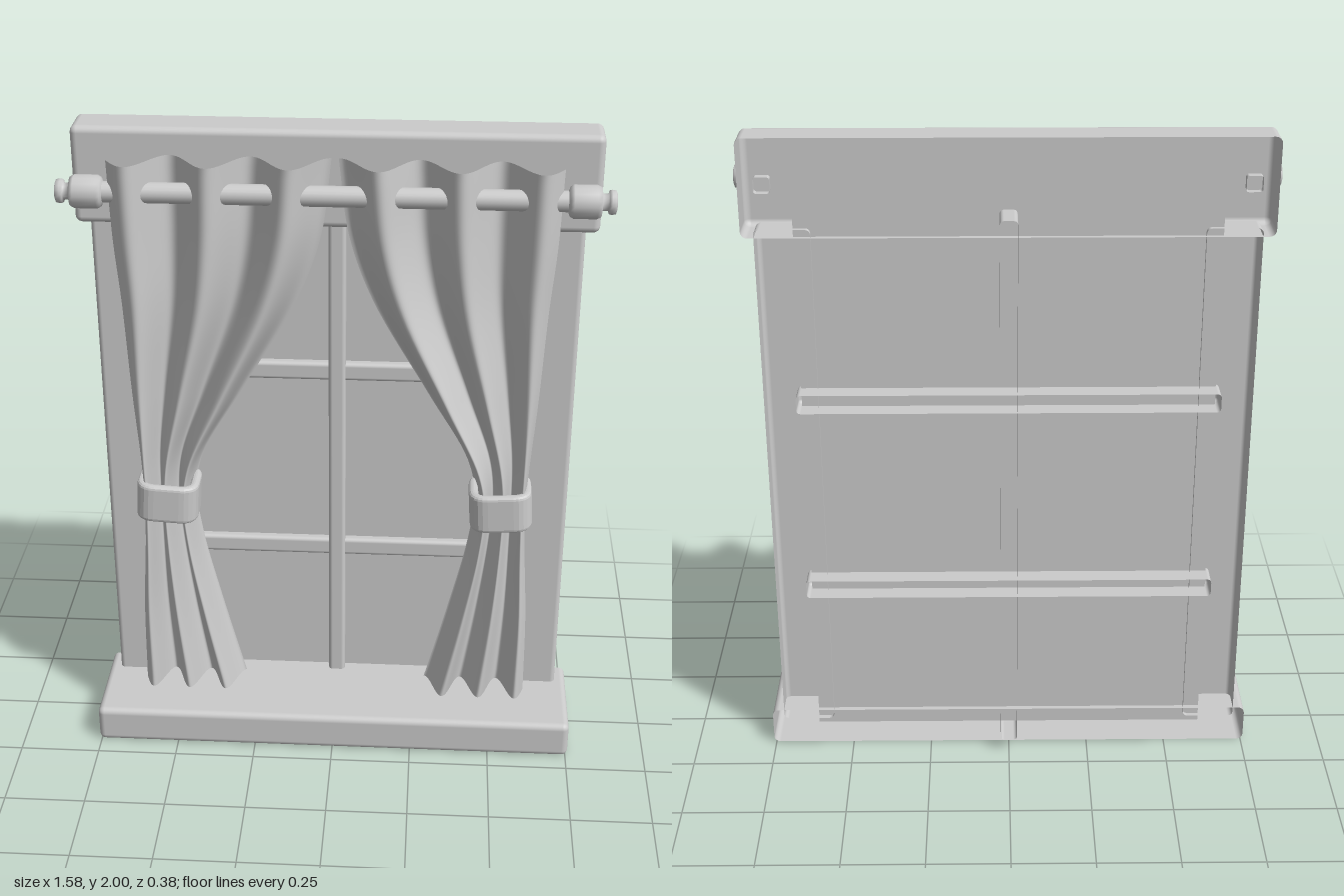
import * as THREE from 'three';
import { RoundedBoxGeometry } from 'three/addons/geometries/RoundedBoxGeometry.js';

const material = new THREE.MeshStandardMaterial({ color: 0xcccccc, side: THREE.DoubleSide });

function add(parent, name, geometry) {
  const mesh = new THREE.Mesh(geometry, material);
  mesh.name = name;
  parent.add(mesh);
  return mesh;
}

// Rounded box between two corners, hollow and open at the back
function openBox([x0, y0, z0], [x1, y1, z1], r) {
  const depth = z1 - z0 + r;
  const box = new RoundedBoxGeometry(x1 - x0, y1 - y0, depth, 3, r);
  const p = box.attributes.position, n = box.attributes.normal;
  const limit = -depth / 2 + r - 1e-5;
  const positions = [], normals = [];
  for (let i = 0; i < p.count; i += 3) {
    if ((p.getZ(i) + p.getZ(i + 1) + p.getZ(i + 2)) / 3 < limit) continue;
    for (let j = i; j < i + 3; j++) {
      positions.push(p.getX(j), p.getY(j), p.getZ(j));
      normals.push(n.getX(j), n.getY(j), n.getZ(j));
    }
  }
  const shell = new THREE.BufferGeometry();
  shell.setAttribute('position', new THREE.Float32BufferAttribute(positions, 3));
  shell.setAttribute('normal', new THREE.Float32BufferAttribute(normals, 3));
  return shell.translate((x0 + x1) / 2, (y0 + y1) / 2, z1 - depth / 2);
}

// Curtain outline from hem to top: (inner x, y, outer x)
const outline = new THREE.CatmullRomCurve3([
  [0.29, 0.17, 0.61], [0.36, 0.45, 0.605], [0.415, 0.7, 0.59], [0.43, 0.86, 0.585], [0.405, 0.98, 0.59],
  [0.28, 1.2, 0.605], [0.11, 1.5, 0.62], [0.04, 1.7, 0.635], [0.01, 1.93, 0.642],
].map((p) => new THREE.Vector3(...p)));

// Pleated sheet gathered at the tie
function curtain(side) {
  const geometry = new THREE.PlaneGeometry(1, 1, 88, 64);
  const p = geometry.attributes.position;
  for (let i = 0; i < p.count; i++) {
    const t = 0.5 + side * p.getX(i);
    const edge = outline.getPoint(THREE.MathUtils.clamp(p.getY(i) + 0.5, 0, 1));
    const x = THREE.MathUtils.lerp(edge.x, edge.z, t);
    p.setXYZ(i, side * x, edge.y, 0.065 - 0.055 * Math.cos(t * 5.5 * Math.PI));
  }
  geometry.computeVertexNormals();
  return geometry;
}

function roundedRect(path, w, h, r) {
  const x = w / 2, y = h / 2;
  path.moveTo(-x + r, -y);
  path.lineTo(x - r, -y).quadraticCurveTo(x, -y, x, -y + r);
  path.lineTo(x, y - r).quadraticCurveTo(x, y, x - r, y);
  path.lineTo(-x + r, y).quadraticCurveTo(-x, y, -x, y - r);
  path.lineTo(-x, -y + r).quadraticCurveTo(-x, -y, -x + r, -y);
  return path;
}

// Soft band wrapped around the gathered cloth
function tieBand() {
  const shape = roundedRect(new THREE.Shape(), 0.166, 0.142, 0.045);
  shape.holes.push(roundedRect(new THREE.Path(), 0.156, 0.132, 0.04));
  const geometry = new THREE.ExtrudeGeometry(shape, {
    depth: 0.1, bevelEnabled: true, bevelSize: 0.012, bevelThickness: 0.012, bevelSegments: 3, curveSegments: 6,
  });
  return geometry.translate(0, 0, -0.05).rotateX(Math.PI / 2);
}

// Collar, neck and knob turned around the rod axis: (radius, x)
const finialProfile = [
  [0.03, 0.655], [0.042, 0.66], [0.048, 0.67], [0.048, 0.735], [0.042, 0.747], [0.024, 0.75],
  [0.024, 0.765], [0.033, 0.768], [0.035, 0.775], [0.033, 0.787], [0.024, 0.79], [0, 0.79],
].map(([r, x]) => new THREE.Vector2(r, x));

export function createModel() {
  const model = new THREE.Group();
  model.name = 'curtainedWindow';

  // Frame and glazing
  add(model, 'header', openBox([-0.757, 1.71, -0.13], [0.757, 2, -0.012], 0.02));
  add(model, 'sill', openBox([-0.757, 0, -0.13], [0.757, 0.12, 0.192], 0.02));
  add(model, 'pane', new THREE.PlaneGeometry(1.22, 1.7)).position.set(0, 0.915, -0.115);
  add(model, 'verticalMuntin', openBox([-0.026, 0.045, -0.192], [0.026, 1.78, -0.08], 0.012));
  for (const y of [0.59, 1.213]) {
    add(model, 'horizontalMuntin', openBox([-0.622, y - 0.029, -0.172], [0.622, y + 0.029, -0.09], 0.012));
  }

  // Curtain rod
  const rod = add(model, 'rod', new THREE.CylinderGeometry(0.03, 0.03, 1.4, 20));
  rod.rotation.z = Math.PI / 2;
  rod.position.set(0, 1.835, 0.06);

  // Mirrored parts
  for (const side of [-1, 1]) {
    const label = side > 0 ? 'left' : 'right';
    const x0 = side > 0 ? 0.56 : -0.72;
    add(model, label + 'Jamb', openBox([x0, 0.09, -0.13], [x0 + 0.16, 1.735, -0.05], 0.015));

    const finial = add(model, label + 'Finial', new THREE.LatheGeometry(finialProfile, 16));
    finial.rotation.z = -side * Math.PI / 2;
    finial.position.copy(rod.position);

    const bx = side * 0.702;
    add(model, label + 'Bracket', openBox([bx - 0.024, 1.811, -0.035], [bx + 0.024, 1.859, 0.06], 0.008));

    add(model, label + 'Curtain', curtain(side));
    const tie = add(model, label + 'Tie', tieBand());
    tie.position.set(side * 0.508, 0.86, 0.062);
    tie.rotation.z = side * 0.06;
  }
  return model;
}
